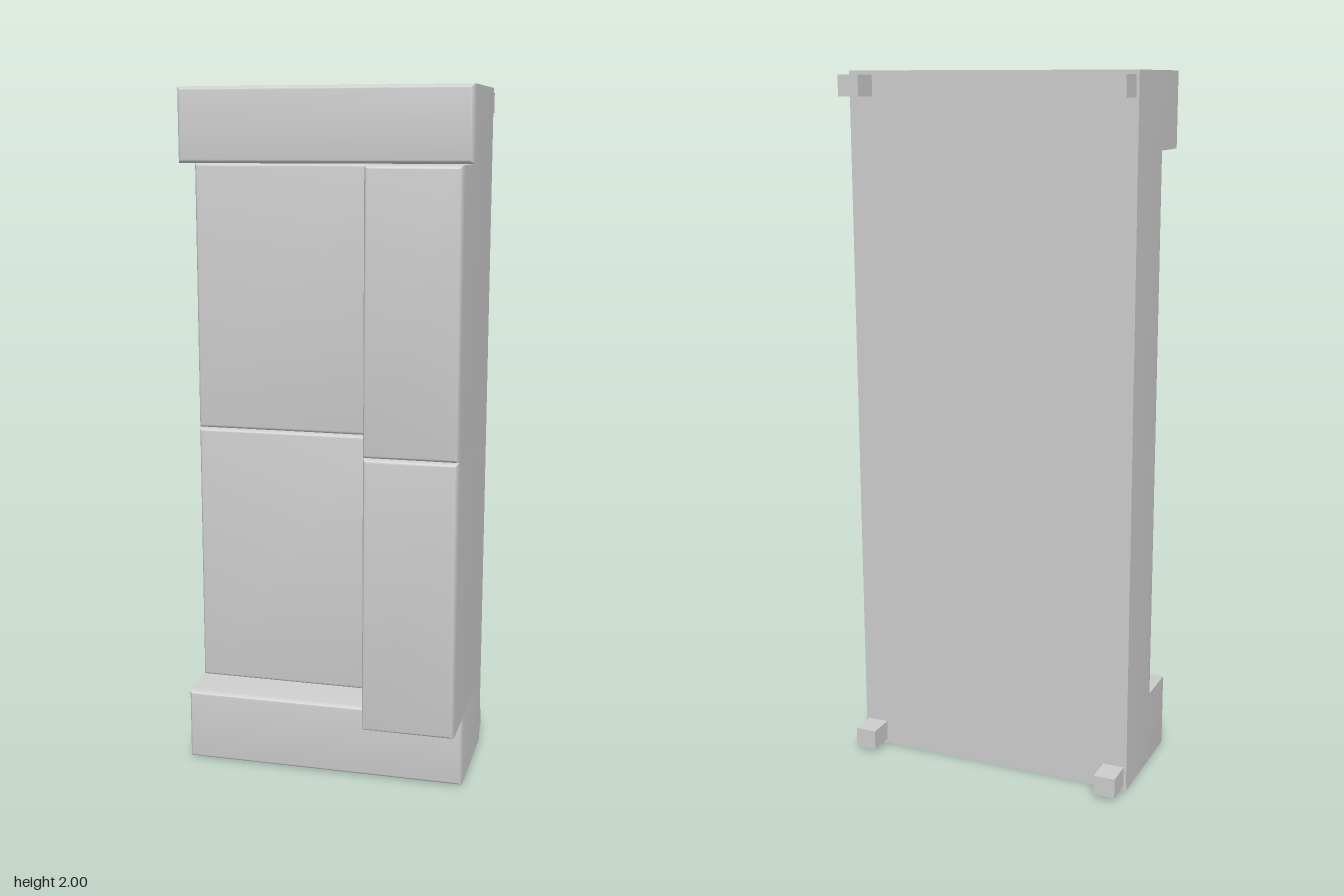
import * as THREE from 'three';
import { toCreasedNormals } from 'three/addons/utils/BufferGeometryUtils.js';

const BACK = -0.22, STEPS = 5, INSET = 0.011, ROUND = 0.02;
const material = new THREE.MeshStandardMaterial({ color: 0xcccccc });

// Box whose four front edges are softly rounded; its back stays square
function cushionGeometry(x0, x1, y0, y1, front) {
  const w = x1 - x0, h = y1 - y0;
  const geo = new THREE.BoxGeometry(w, h, 1, 1, 1, STEPS + 1);
  const pos = geo.attributes.position;
  for (let i = 0; i < pos.count; i++) {
    const row = Math.round((pos.getZ(i) + 0.5) * (STEPS + 1));
    let z = BACK, inset = 0;
    if (row > 0) {
      const a = ((row - 1) / STEPS) * Math.PI / 2;
      z = front - ROUND + ROUND * Math.sin(a);
      inset = INSET * (1 - Math.cos(a));
    }
    pos.setXYZ(i,
      (x0 + x1) / 2 + Math.sign(pos.getX(i)) * (w / 2 - inset),
      (y0 + y1) / 2 + Math.sign(pos.getY(i)) * (h / 2 - inset), z);
  }
  return toCreasedNormals(geo, Math.PI / 5);
}

export function createModel() {
  const group = new THREE.Group();
  const add = (name, geo) => {
    const mesh = new THREE.Mesh(geo, material);
    mesh.name = name;
    group.add(mesh);
    return mesh;
  };
  const half = 0.42, split = 0.155, low = 0.215, mid = 1.005, high = 1.79;

  // Armrests at both ends
  add('lowerArmrest', cushionGeometry(-half, half, 0, low, 0.131));
  add('upperArmrest', cushionGeometry(-half, half, high, 2, 0.131));

  // Two seats, each with a taller backrest on the left side
  for (const [label, y0, y1] of [['lower', low, mid], ['upper', mid, high]]) {
    add(label + 'Seat', cushionGeometry(-half, split, y0, y1, -0.003));
    add(label + 'Backrest', cushionGeometry(split, half, y0, y1, 0.296));
  }

  // Four block feet on the rear face
  for (const x of [-0.381, 0.381]) {
    for (const y of [0.042, 1.96]) {
      add('foot', new THREE.BoxGeometry(0.062, 0.058, 0.078)).position.set(x, y, BACK - 0.039);
    }
  }
  return group;
}
